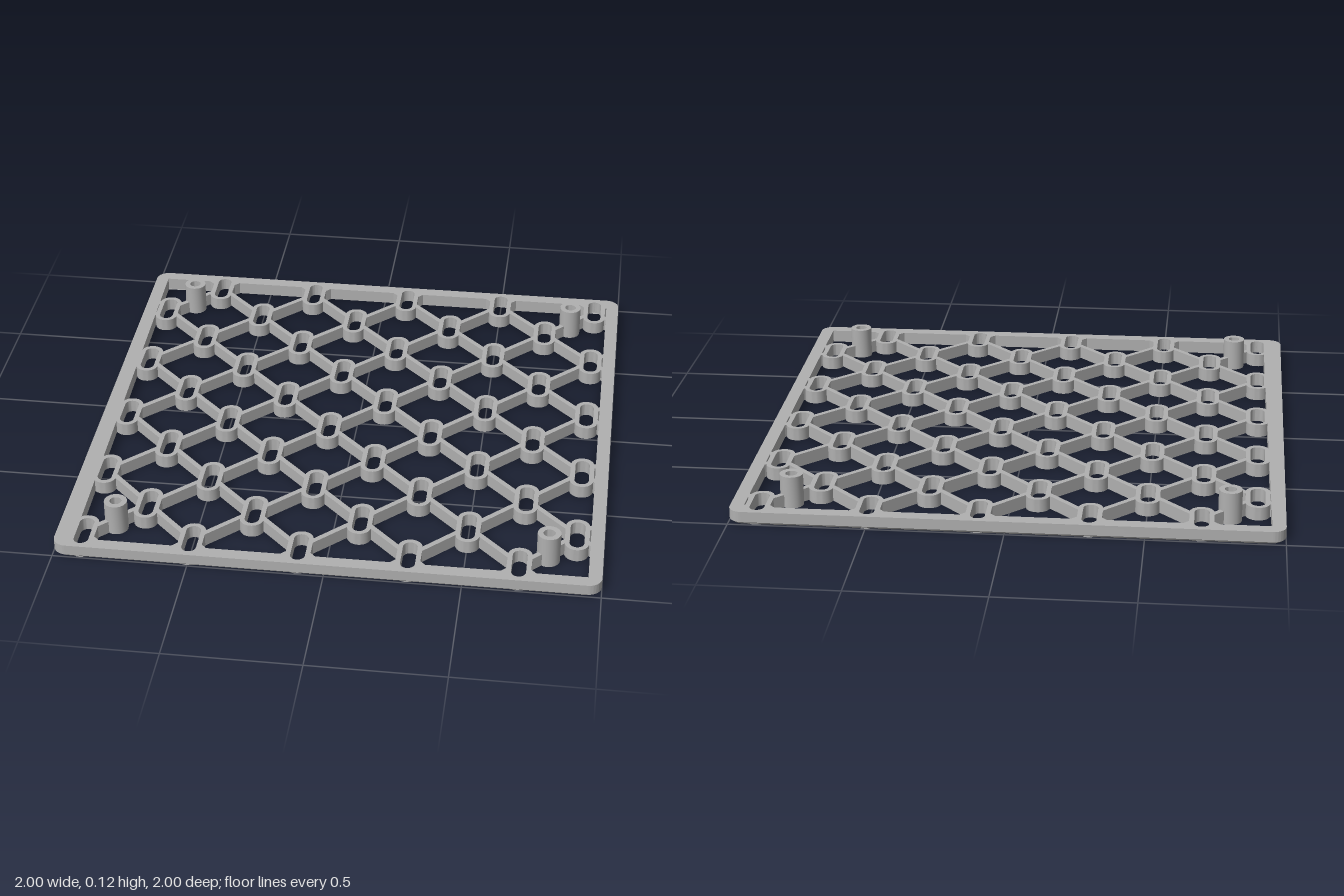
import * as THREE from 'three';
import { toCreasedNormals } from 'three/addons/utils/BufferGeometryUtils.js';

const HEIGHT = 0.05, POST_HEIGHT = 0.122;
const SLOT_R = 0.027, LINK_R = 0.045, HALF_STRAIGHT = 0.05;
const INNER = 0.95, PITCH = 0.4;

// Extrudes a plan outline upward from y = 0
function extrudeUp(shape, depth, steps = 1) {
  const g = new THREE.ExtrudeGeometry(shape, { depth, steps, bevelEnabled: false, curveSegments: 10 });
  return g.rotateX(-Math.PI / 2);
}

function capsulePath(path, r) {
  path.absarc(0, HALF_STRAIGHT, r, 0, Math.PI, false);
  path.absarc(0, -HALF_STRAIGHT, r, Math.PI, Math.PI * 2, false);
  path.closePath();
  return path;
}

// Square rim with rounded corners, notched where the end slots reach into it
function frameGeometry(backXs, frontXs) {
  const shape = new THREE.Shape();
  [[1, 1], [-1, 1], [-1, -1], [1, -1]].forEach(([sx, sy], i) => {
    const a = i * Math.PI / 2;
    shape.absarc(sx * INNER, sy * INNER, 0.05, a, a + Math.PI / 2, false);
  });
  shape.closePath();
  const hole = new THREE.Path();
  hole.moveTo(-INNER, -INNER);
  for (const x of frontXs) hole.absarc(x, -INNER, SLOT_R, Math.PI, Math.PI * 2, false);
  hole.lineTo(INNER, -INNER);
  hole.lineTo(INNER, INNER);
  for (const x of [...backXs].reverse()) hole.absarc(x, INNER, SLOT_R, 0, Math.PI, false);
  hole.lineTo(-INNER, INNER);
  hole.closePath();
  shape.holes.push(hole);

  // Pull in the lowest outer edge to make the bottom chamfer
  const g = extrudeUp(shape, HEIGHT, 5);
  const p = g.attributes.position;
  for (let i = 0; i < p.count; i++) {
    if (p.getY(i) < 0.001 && Math.max(Math.abs(p.getX(i)), Math.abs(p.getZ(i))) > 0.98) {
      p.setX(i, p.getX(i) * 0.99);
      p.setZ(i, p.getZ(i) * 0.99);
    }
  }
  return toCreasedNormals(g, 0.5);
}

export function createModel() {
  const model = new THREE.Group();
  model.name = 'latticePanel';
  const grey = new THREE.MeshStandardMaterial({ color: 0xb0b0b0 });
  grey.name = 'grey';

  const add = (name, geometry, x = 0, z = 0) => {
    const mesh = new THREE.Mesh(geometry, grey);
    mesh.name = name;
    mesh.position.set(x, 0, z);
    model.add(mesh);
    return mesh;
  };

  const series = (start) => Array.from({ length: 5 }, (_, i) => start + i * PITCH);
  const columnsA = series(-0.9), columnsB = series(-0.7);
  add('frame', frameGeometry(columnsB, columnsA));

  // Slotted links in two staggered sets
  const linkShape = capsulePath(new THREE.Shape(), LINK_R);
  linkShape.holes.push(capsulePath(new THREE.Path(), SLOT_R));
  const linkGeometry = toCreasedNormals(extrudeUp(linkShape, HEIGHT), 0.5);
  const links = [];
  for (const x of columnsA) for (const z of columnsB) links.push([x, z]);
  for (const x of columnsB) for (const z of columnsA) links.push([x, z]);
  // The second set of each column runs to the opposite edge
  for (const [x, z] of links) add('slottedLink', linkGeometry, x, z);

  // Diagonal struts between links, stopped short at the posts and the frame
  const START = 0.036;
  const isPost = (x, z) => Math.abs(Math.abs(x) - 0.8) < 0.01 && Math.abs(Math.abs(z) - 0.8) < 0.01;
  for (const [x, z] of links) {
    for (const dx of [-1, 1]) for (const dz of [-1, 1]) {
      const outside = Math.abs(x + dx * 0.2) > 1 || Math.abs(z + dz * 0.2) > 1;
      const post = isPost(x + dx * 0.1, z + dz * 0.1);
      if (!outside && !post && dx < 0) continue;
      const end = outside ? 0.06 : post ? 0.079 : 0.2 - START;
      const mid = (START + end) / 2;
      const strut = add('strut', new THREE.BoxGeometry((end - START) * Math.SQRT2, HEIGHT, 0.02),
        x + dx * mid, z + dz * mid);
      strut.position.y = HEIGHT / 2;
      strut.rotation.y = -dx * dz * Math.PI / 4;
    }
  }

  // Hollow corner posts
  const postShape = new THREE.Shape().absarc(0, 0, 0.043, 0, Math.PI * 2, false);
  postShape.holes.push(new THREE.Path().absarc(0, 0, 0.022, 0, Math.PI * 2, false));
  const postGeometry = toCreasedNormals(extrudeUp(postShape, POST_HEIGHT), 0.7);
  for (const x of [-0.8, 0.8]) for (const z of [-0.8, 0.8]) add('post', postGeometry, x, z);

  return model;
}
